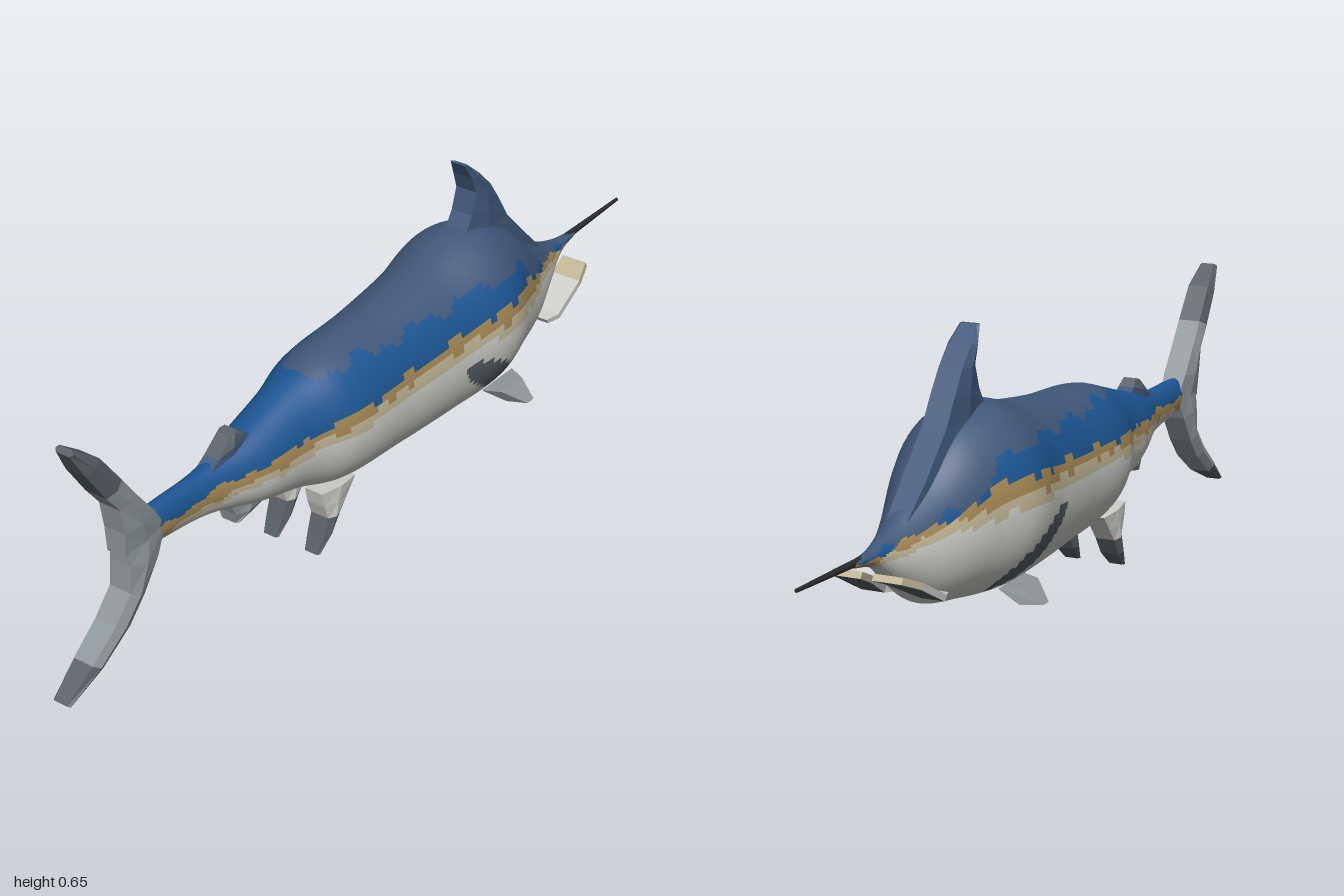
import * as THREE from 'three';

const mat = (name, color) => Object.assign(new THREE.MeshStandardMaterial({ color }), { name });
const V = (x, y, z) => new THREE.Vector3(x, y, z);

export function createModel() {
  const model = new THREE.Group();
  model.name = 'billfish';
  const mats = [
    mat('slate back', 0x41587a), mat('blue side', 0x1c5592), mat('tan stripe', 0xa58853),
    mat('cream stripe', 0xc0b596), mat('white belly', 0xcdcdc9), mat('grey fin', 0x8d9698),
    mat('dark fin', 0x586166), mat('black bill', 0x2b2b2d),
  ];
  const [SLATE, BLUE, TAN, CREAM, WHITE, GREY, DARK, BLACK] = mats.keys();

  // Skin a list of rings, close both ends, and sort faces by painted colour
  function loft(name, rings, paint, smooth = false) {
    const n = rings[0].length, pts = rings.flat(), buckets = mats.map(() => []);
    const mid = (ids) => ids.reduce((s, i) => s.add(pts[i]), V(0, 0, 0)).divideScalar(ids.length);
    const faces = [];
    for (let r = 0; r < rings.length - 1; r++) {
      for (let k = 0; k < n; k++) {
        const a = r * n + k, b = r * n + (k + 1) % n;
        const c = paint(mid([a, b, a + n, b + n]), r, k);
        faces.push([c, a, b, b + n], [c, a, b + n, a + n]);
      }
    }
    const last = rings.length - 1, o = last * n;
    for (let k = 1; k < n - 1; k++) {
      faces.push([paint(pts[0], 0, -1), 0, k + 1, k]);
      faces.push([paint(pts[o], last - 1, -1), o, o + k, o + k + 1]);
    }
    // Turn the faces outward whichever way the rings run
    const volume = faces.reduce((s, [, a, b, c]) => s + pts[a].dot(pts[b].clone().cross(pts[c])), 0);
    faces.forEach(([m, a, b, c]) => buckets[m].push(...(volume > 0 ? [a, b, c] : [a, c, b])));

    let geo = new THREE.BufferGeometry().setFromPoints(pts);
    geo.setIndex(buckets.flat());
    if (!smooth) geo = geo.toNonIndexed();
    geo.computeVertexNormals();
    let start = 0;
    buckets.forEach((b, i) => {
      if (b.length) geo.addGroup(start, b.length, i);
      start += b.length;
    });
    const mesh = new THREE.Mesh(geo, mats);
    mesh.name = name;
    model.add(mesh);
  }

  // Upright fin; each row is [front x, front y, rear x, rear y, half thickness, colour]
  function fin(name, rows, z = 0) {
    const rings = rows.map(([fx, fy, bx, by, h]) => {
      const mx = (fx + bx) / 2, my = (fy + by) / 2, e = h * 0.75;
      return [V(fx, fy, z - e), V(fx, fy, z + e), V(mx, my, z + h),
        V(bx, by, z + e), V(bx, by, z - e), V(mx, my, z - h)];
    });
    loft(name, rings, (p, r) => rows[r][5]);
  }

  const table = (Type, rows) => {
    const w = rows[0].length - 1;
    return new Type(rows.map((r) => r[0]), rows.flatMap((r) => r.slice(1)), w, new Float32Array(w));
  };

  // Body stations: x, top, bottom, half width
  const profile = table(THREE.CubicInterpolant, [
    [-0.80, 0.325, 0.25, 0.018], [-0.72, 0.332, 0.247, 0.026], [-0.56, 0.335, 0.228, 0.036],
    [-0.42, 0.365, 0.185, 0.072], [-0.30, 0.40, 0.155, 0.09], [-0.20, 0.428, 0.122, 0.12],
    [0, 0.445, 0.104, 0.13], [0.17, 0.468, 0.097, 0.142], [0.33, 0.50, 0.102, 0.16],
    [0.44, 0.465, 0.117, 0.126], [0.56, 0.375, 0.143, 0.08], [0.65, 0.323, 0.20, 0.044],
    [0.73, 0.298, 0.26, 0.018], [0.80, 0.291, 0.278, 0.008],
  ]);

  // Colour borders by height: x, white-cream, cream-tan, tan-blue, blue-slate
  const bands = table(THREE.LinearInterpolant, [
    [-0.80, 0.255, 0.262, 0.285, 0.42], [-0.40, 0.265, 0.282, 0.305, 0.42],
    [-0.20, 0.28, 0.30, 0.322, 0.41], [0, 0.292, 0.318, 0.338, 0.405],
    [0.30, 0.305, 0.33, 0.358, 0.42], [0.42, 0.302, 0.33, 0.37, 0.405],
    [0.48, 0.295, 0.318, 0.335, 0.34], [0.60, 0.285, 0.30, 0.308, 0.309],
    [0.72, 0.262, 0.275, 0.285, 0.286], [0.80, 0.25, 0.255, 0.281, 0.282],
  ]);
  const paintBody = ({ x, y }) => {
    // Grey flipper marking lying along the flank
    const dx = x - 0.275, dy = y - 0.198;
    const along = dx * 0.87 - dy * 0.49, across = dx * 0.49 + dy * 0.87;
    if ((along / 0.132) ** 2 + (across / 0.034) ** 2 < 1) return DARK;
    const wave = 0.004 * Math.sin(x * 37) + 0.003 * Math.sin(x * 83);
    const [white, cream, tan, blue] = bands.evaluate(x);
    if (y < white + wave * 0.6) return WHITE;
    if (y < cream + wave) return CREAM;
    if (y < tan - wave) return TAN;
    return y < blue + wave * 2 ? BLUE : SLATE;
  };
  const bodyRings = [];
  for (let i = 0; i <= 180; i++) {
    const x = -0.8 + 1.6 * i / 180;
    const [top, bottom, half] = profile.evaluate(x);
    bodyRings.push(Array.from({ length: 72 }, (_, k) => {
      const a = k / 72 * Math.PI * 2;
      return V(x, (top + bottom) / 2 + Math.cos(a) * (top - bottom) / 2, Math.sin(a) * half);
    }));
  }
  loft('body', bodyRings, paintBody, true);

  // Long spear on the snout
  const bill = new THREE.Mesh(new THREE.CylinderGeometry(0.004, 0.009, 0.27, 8), mats[BLACK]);
  bill.name = 'bill';
  bill.rotation.z = -Math.PI / 2 + 0.025;
  bill.position.set(0.865, 0.288, 0);
  model.add(bill);

  // Tall swept dorsal fin running down onto the head
  fin('dorsalFin', [
    [0.63, 0.325, 0.52, 0.34, 0.030, SLATE], [0.56, 0.39, 0.38, 0.43, 0.036, SLATE],
    [0.475, 0.475, 0.31, 0.49, 0.036, SLATE], [0.44, 0.53, 0.335, 0.53, 0.036, SLATE],
    [0.405, 0.58, 0.35, 0.58, 0.035, SLATE], [0.365, 0.62, 0.335, 0.62, 0.033, SLATE],
    [0.325, 0.655, 0.315, 0.655, 0.022, SLATE],
  ]);
  fin('rearDorsalFin', [
    [-0.42, 0.35, -0.56, 0.325, 0.025, SLATE], [-0.45, 0.368, -0.53, 0.345, 0.025, DARK],
    [-0.47, 0.385, -0.49, 0.378, 0.02, DARK],
  ]);
  fin('rearAnalFin', [
    [-0.38, 0.19, -0.50, 0.22, 0.03, GREY], [-0.42, 0.18, -0.49, 0.195, 0.03, GREY],
    [-0.47, 0.168, -0.485, 0.17, 0.022, GREY],
  ]);

  // Forked tail
  fin('tailUpperLobe', [
    [-0.70, 0.285, -0.82, 0.275, 0.03, GREY], [-0.735, 0.34, -0.82, 0.33, 0.036, GREY],
    [-0.785, 0.405, -0.83, 0.39, 0.036, GREY], [-0.82, 0.455, -0.865, 0.435, 0.035, DARK],
    [-0.875, 0.53, -0.915, 0.51, 0.033, DARK], [-0.935, 0.575, -0.945, 0.565, 0.022, DARK],
  ]);
  fin('tailLowerLobe', [
    [-0.70, 0.295, -0.81, 0.30, 0.03, GREY], [-0.73, 0.235, -0.81, 0.25, 0.036, GREY],
    [-0.775, 0.17, -0.815, 0.19, 0.036, GREY], [-0.82, 0.12, -0.86, 0.14, 0.035, GREY],
    [-0.90, 0.065, -0.93, 0.085, 0.032, DARK], [-0.99, 0.023, -1.0, 0.03, 0.022, DARK],
  ]);

  for (const [side, s] of [['left', 1], ['right', -1]]) {
    // Paired belly fins with dark tips
    fin(side + 'BellyFin', [
      [-0.16, 0.14, -0.275, 0.15, 0.03, WHITE], [-0.19, 0.105, -0.268, 0.115, 0.03, WHITE],
      [-0.215, 0.075, -0.255, 0.08, 0.03, DARK], [-0.24, 0.035, -0.27, 0.04, 0.028, DARK],
      [-0.275, 0.002, -0.287, 0.002, 0.02, DARK],
    ], s * 0.055);

    // Short flipper tip standing out from the lower flank
    const flipper = [[0.28, 0.40, 0.14, 0.10, 0.14], [0.32, 0.385, 0.107, 0.14, 0.183]]
      .map(([x0, x1, y, z0, z1]) => [V(x0, y, s * z0), V(x1, y, s * z0),
        V(x1 - 0.02, y, s * z1), V(x0 + 0.02, y, s * z1)]);
    loft(side + 'Flipper', flipper, () => GREY);

    // Slanted jaw plate, pale above and dark below
    const jaw = [[0.58, 0.167, 0.035, 0.08], [0.61, 0.172, 0.04, 0.092],
      [0.70, 0.22, 0.018, 0.09], [0.75, 0.242, 0.012, 0.075]]
      .map(([x, y, z0, z1]) => [V(x, y, s * z0), V(x, y, s * z1),
        V(x - 0.008, y + 0.012, s * z1), V(x - 0.008, y + 0.012, s * z0)]);
    loft(side + 'JawPlate', jaw, (p, r, k) => (k === 0 ? DARK : r === 2 ? CREAM : WHITE));
  }
  return model;
}
